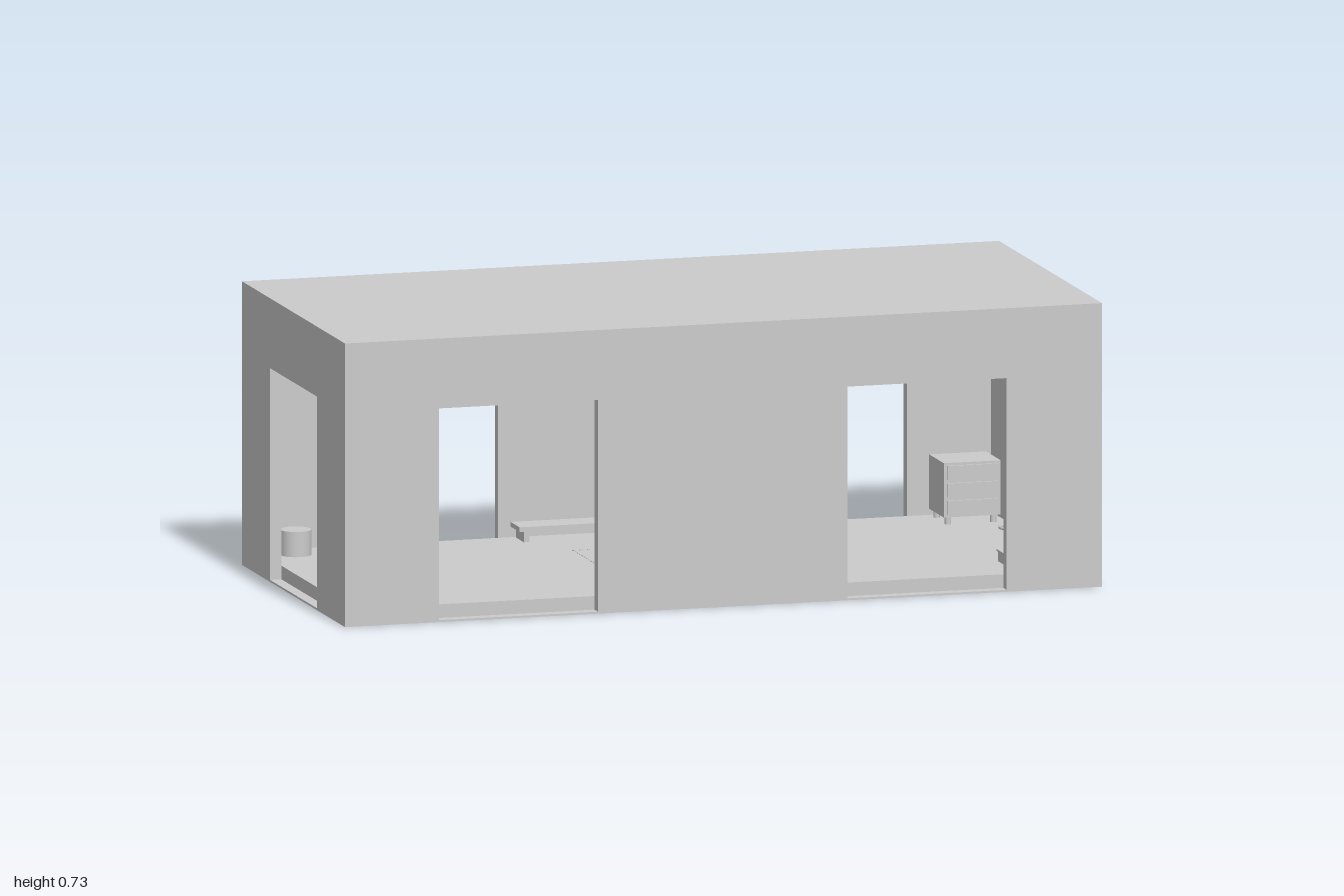
import * as THREE from 'three';

const L = 2, W = 0.916, H = 0.73, T = 0.03, FLOOR = 0.04, DOOR_TOP = 0.55;

export function createModel() {
  const root = new THREE.Group();
  root.name = 'roboticWorkshop';
  const smooth = new THREE.MeshStandardMaterial({ color: 0xcccccc });
  const flat = new THREE.MeshStandardMaterial({ color: 0xcccccc, flatShading: true });

  const add = (parent, name, geo, x = 0, y = 0, z = 0, mat = flat) => {
    const m = new THREE.Mesh(geo, mat);
    m.name = name;
    m.position.set(x, y, z);
    parent.add(m);
    return m;
  };
  const box = (parent, name, w, h, d, x, y, z) =>
    add(parent, name, new THREE.BoxGeometry(w, h, d), x, y, z);
  const cyl = (parent, name, r, h, x, y, z) =>
    add(parent, name, new THREE.CylinderGeometry(r, r, h, 24), x, y, z, smooth);
  const group = (name, x = 0, y = 0, z = 0) => {
    const g = new THREE.Group();
    g.name = name;
    g.position.set(x, y, z);
    root.add(g);
    return g;
  };
  // Round bar between two points
  const bar = (parent, name, a, b, r0, r1 = r0) => {
    const p = new THREE.Vector3(...a), q = new THREE.Vector3(...b);
    const dir = q.clone().sub(p);
    const m = add(parent, name, new THREE.CylinderGeometry(r1, r0, dir.length(), 16), 0, 0, 0, smooth);
    m.position.copy(p).add(q).multiplyScalar(0.5);
    m.quaternion.setFromUnitVectors(new THREE.Vector3(0, 1, 0), dir.normalize());
    return m;
  };

  // Wall panel with rectangular doorways given as [from, to]
  const wall = (length, doors) => {
    const h = H - T, s = new THREE.Shape();
    s.moveTo(-length / 2, 0).lineTo(length / 2, 0).lineTo(length / 2, h).lineTo(-length / 2, h).closePath();
    for (const [a, b] of doors) {
      const p = new THREE.Path();
      p.moveTo(a, 0.005).lineTo(a, DOOR_TOP).lineTo(b, DOOR_TOP).lineTo(b, 0.005).closePath();
      s.holes.push(p);
    }
    return new THREE.ExtrudeGeometry(s, { depth: T, bevelEnabled: false }).translate(0, 0, -T / 2);
  };

  // Shell
  const longDoors = [[-0.752, -0.332], [0.328, 0.748]];
  for (const s of [1, -1]) {
    add(root, s > 0 ? 'frontWall' : 'backWall', wall(L, longDoors), 0, 0, s * (W - T) / 2);
    const side = add(root, s > 0 ? 'leftWall' : 'rightWall', wall(W - 2 * T, [[-0.208, 0.208]]), s * (L - T) / 2, 0, 0);
    side.rotation.y = Math.PI / 2;
  }
  box(root, 'roof', L, T, W, 0, H - T / 2, 0);
  box(root, 'groundSlab', L - 2 * T, 0.004, W - 2 * T, 0, 0.002, 0);
  box(root, 'floor', L - 2 * T, FLOOR - 0.005, W - 2 * T, 0, (FLOOR + 0.005) / 2, 0);

  // Ceiling beams and lamps
  for (const z of [-0.3, -0.15, 0.15, 0.3]) {
    box(root, 'ceilingBeam', L - 2 * T, 0.015, 0.025, 0, 0.6925, z);
  }
  for (const x of [-0.6, 0, 0.6]) for (const z of [-0.225, 0.225]) {
    box(root, 'ceilingLamp', 0.2, 0.008, 0.05, x, 0.696, z);
  }

  // Overhead rail frame with carriage
  const gantry = group('gantry');
  for (const s of [1, -1]) {
    box(gantry, 'rail', 0.76, 0.02, 0.018, 0, 0.66, s * 0.06);
    box(gantry, 'endBar', 0.018, 0.02, 0.138, s * 0.38, 0.66, 0);
    for (const x of [-0.3, 0.3]) box(gantry, 'railHanger', 0.015, 0.03, 0.015, x, 0.685, s * 0.06);
  }
  box(gantry, 'carriage', 0.08, 0.025, 0.15, 0, 0.638, 0);

  // Hanging robot arm
  const arm = group('robotArm');
  bar(arm, 'post', [0, 0.46, 0], [0, 0.63, 0], 0.013);
  bar(arm, 'shoulder', [0, 0.447, -0.026], [0, 0.447, 0.026], 0.023);
  bar(arm, 'upperArm', [0, 0.435, 0.008], [0, 0.34, 0.075], 0.011);
  bar(arm, 'elbow', [-0.02, 0.34, 0.075], [0.02, 0.34, 0.075], 0.017);
  bar(arm, 'forearm', [0, 0.335, 0.075], [0, 0.235, 0.056], 0.009);
  bar(arm, 'wrist', [0, 0.24, 0.057], [0, 0.228, 0.054], 0.011);
  bar(arm, 'toolTip', [0, 0.23, 0.055], [0, 0.21, 0.05], 0.005, 0.003);

  // Landing platform carrying a four-rotor drone
  const droneStation = (name, x, z, k) => {
    const g = group(name, x, FLOOR, z);
    box(g, 'platform', 0.27, 0.034, 0.265, 0, 0.017, 0);
    box(g, 'platformTop', 0.28, 0.006, 0.273, 0, 0.036, 0);
    box(g, 'droneBody', 0.12, 0.052, 0.112, 0, 0.105, 0);
    for (const sx of [1, -1]) for (const sz of [1, -1]) {
      bar(g, 'leg', [sx * 0.04, 0.08, sz * 0.034], [sx * 0.048, 0.038, sz * 0.041], 0.004);
      bar(g, 'rotorArm', [sx * 0.04, 0.115, sz * 0.03], [sx * 0.105, 0.115, sz * 0.085], 0.005);
      const ring = add(g, 'rotorGuard', new THREE.TorusGeometry(0.036, 0.005, 8, 24), sx * 0.105, 0.115, sz * 0.085, smooth);
      ring.rotation.x = Math.PI / 2;
      cyl(g, 'rotorHub', 0.009, 0.012, sx * 0.105, 0.115, sz * 0.085);
      const blade = box(g, 'rotorBlade', 0.07, 0.002, 0.008, sx * 0.105, 0.12, sz * 0.085);
      blade.rotation.y = sx * sz * 0.7;
    }
    g.scale.set(k, k === 1 ? 1 : 0.8, k);
  };
  droneStation('mainDroneStation', 0, 0, 1);
  droneStation('leftDroneStation', 0.878, 0.335, 0.67);
  droneStation('rightDroneStation', -0.878, 0.335, 0.67);

  // Dotted safety square around the main platform
  const marking = group('floorMarking', 0, FLOOR + 0.001, 0);
  for (let i = 0; i <= 20; i++) {
    const t = -0.2 + i * 0.02;
    for (const s of [1, -1]) {
      box(marking, 'dash', 0.008, 0.002, 0.004, t, 0, s * 0.2);
      box(marking, 'dash', 0.004, 0.002, 0.008, s * 0.2, 0, t);
    }
  }

  // Wheeled cabinet in the back left corner
  const cabinet = group('cabinet', 0.875, FLOOR, -0.34);
  box(cabinet, 'cabinetBody', 0.15, 0.14, 0.13, 0, 0.09, 0);
  for (const y of [0.045, 0.09, 0.135]) box(cabinet, 'drawer', 0.13, 0.036, 0.006, 0, y, 0.067);
  for (const x of [-0.06, 0.06]) for (const z of [-0.05, 0.05]) cyl(cabinet, 'caster', 0.008, 0.02, x, 0.01, z);

  // Barrel in the back right corner
  cyl(root, 'barrel', 0.04, 0.065, -0.89, FLOOR + 0.0325, -0.35);

  // Low bench along the back wall
  const bench = group('bench', -0.05, FLOOR, -0.385);
  box(bench, 'benchTop', 0.5, 0.012, 0.08, 0, 0.034, 0);
  for (const x of [-0.23, 0, 0.23]) box(bench, 'benchLeg', 0.015, 0.028, 0.07, x, 0.014, 0);

  // Supplies along the front wall
  box(root, 'crate', 0.09, 0.05, 0.07, 0.18, FLOOR + 0.025, 0.39);
  box(root, 'crate', 0.08, 0.04, 0.06, -0.11, FLOOR + 0.02, 0.39);
  cyl(root, 'canister', 0.014, 0.045, 0.02, FLOOR + 0.0225, 0.39);

  return root;
}
